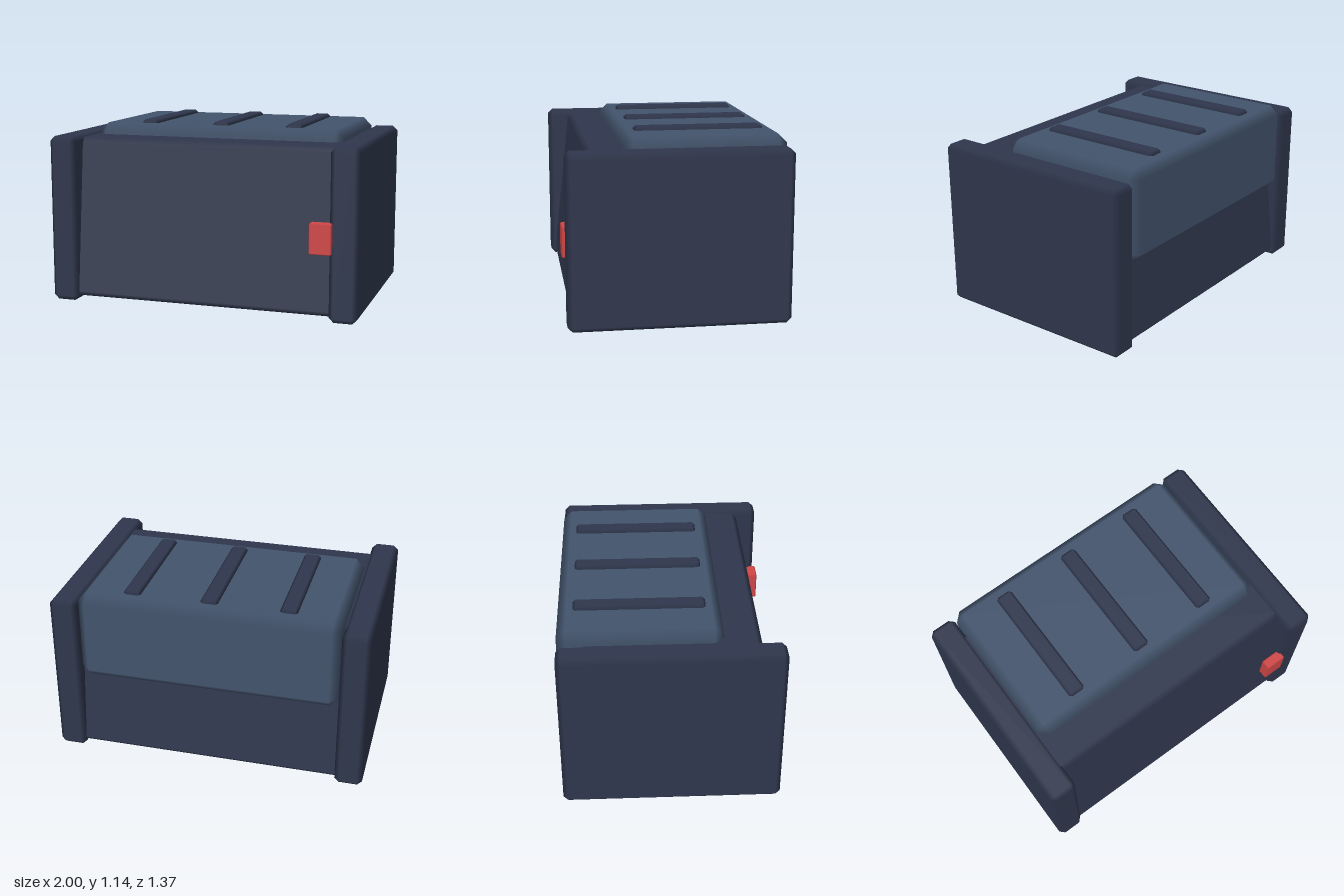
import * as THREE from 'three';

// Box with one chamfer per edge; shading blends only across the chamfers.
// taper narrows the depth by that much per unit of height, on each side.
function chamferBox(min, max, bevel, taper = 0) {
  const pos = [], nor = [], index = [];
  const lo = new THREE.Vector3(...min), hi = new THREE.Vector3(...max);
  const mid = lo.clone().add(hi).multiplyScalar(0.5);
  const half = hi.clone().sub(lo).multiplyScalar(0.5);
  const sign = (corner, axis) => ((corner >> axis) & 1 ? 1 : -1);

  // three vertices per corner, one on each neighbouring face
  for (let c = 0; c < 8; c++) {
    for (let face = 0; face < 3; face++) {
      const p = new THREE.Vector3(), n = new THREE.Vector3();
      for (let a = 0; a < 3; a++) {
        p.setComponent(a, sign(c, a) * (half.getComponent(a) - (a === face ? 0 : bevel)));
      }
      n.setComponent(face, sign(c, face));
      if (face === 2) n.y = taper;
      p.z -= sign(c, 2) * taper * (p.y + half.y);
      pos.push(...p.add(mid).toArray());
      nor.push(...n.normalize().toArray());
    }
  }

  // adds a triangle, turned to face outwards
  const at = (i) => new THREE.Vector3().fromArray(pos, i * 3).sub(mid);
  const tri = (i, j, k) => {
    const a = at(i), b = at(j), c = at(k);
    const out = b.clone().sub(a).cross(c.clone().sub(a)).dot(a.add(b).add(c)) > 0;
    index.push(i, out ? j : k, out ? k : j);
  };
  const quad = (a, b, c, d) => { tri(a, b, c); tri(a, c, d); };

  for (let a = 0; a < 3; a++) {
    const b = (a + 1) % 3, c = (a + 2) % 3, A = 1 << a, B = 1 << b, C = 1 << c;
    // two flat faces across axis a
    for (const s of [0, A]) {
      quad(s * 3 + a, (s | B) * 3 + a, (s | B | C) * 3 + a, (s | C) * 3 + a);
    }
    // four chamfers running along axis a
    for (const s of [0, B, C, B | C]) {
      quad(s * 3 + b, (s | A) * 3 + b, (s | A) * 3 + c, s * 3 + c);
    }
  }
  for (let c = 0; c < 8; c++) tri(c * 3, c * 3 + 1, c * 3 + 2);

  const g = new THREE.BufferGeometry();
  g.setAttribute('position', new THREE.Float32BufferAttribute(pos, 3));
  g.setAttribute('normal', new THREE.Float32BufferAttribute(nor, 3));
  g.setIndex(index);
  return g;
}

export function createModel() {
  const model = new THREE.Group();
  model.name = 'chest';

  const material = (name, color) => {
    const m = new THREE.MeshStandardMaterial({ color });
    m.name = name;
    return m;
  };
  const navy = material('dark navy', 0x2f374d);
  const slate = material('slate blue', 0x43546d);
  const red = material('red', 0xd14747);

  const add = (name, mat, ...box) => {
    const mesh = new THREE.Mesh(chamferBox(...box), mat);
    mesh.name = name;
    model.add(mesh);
  };

  // body leaning inwards towards the top at front and back
  add('body', navy, [-0.86, 0.03, -0.662], [0.86, 1.05, 0.638], 0.03, 0.11);

  // upright end panels
  add('leftEndPanel', navy, [0.825, 0, -0.685], [1, 1.065, 0.665], 0.03);
  add('rightEndPanel', navy, [-1, 0, -0.685], [-0.825, 1.065, 0.665], 0.03);

  // lid block covering the top and the upper back
  add('lid', slate, [-0.822, 0.545, -0.685], [0.822, 1.122, 0.305], 0.055);

  // raised strips on the lid
  for (const x of [-0.49, 0, 0.487]) {
    add('lidStrip', navy, [x - 0.054, 1.09, -0.59], [x + 0.054, 1.144, 0.212], 0.016);
  }

  // red latch at the front corner
  add('latch', red, [0.705, 0.42, 0.618], [0.845, 0.61, 0.685], 0.008);

  return model;
}
